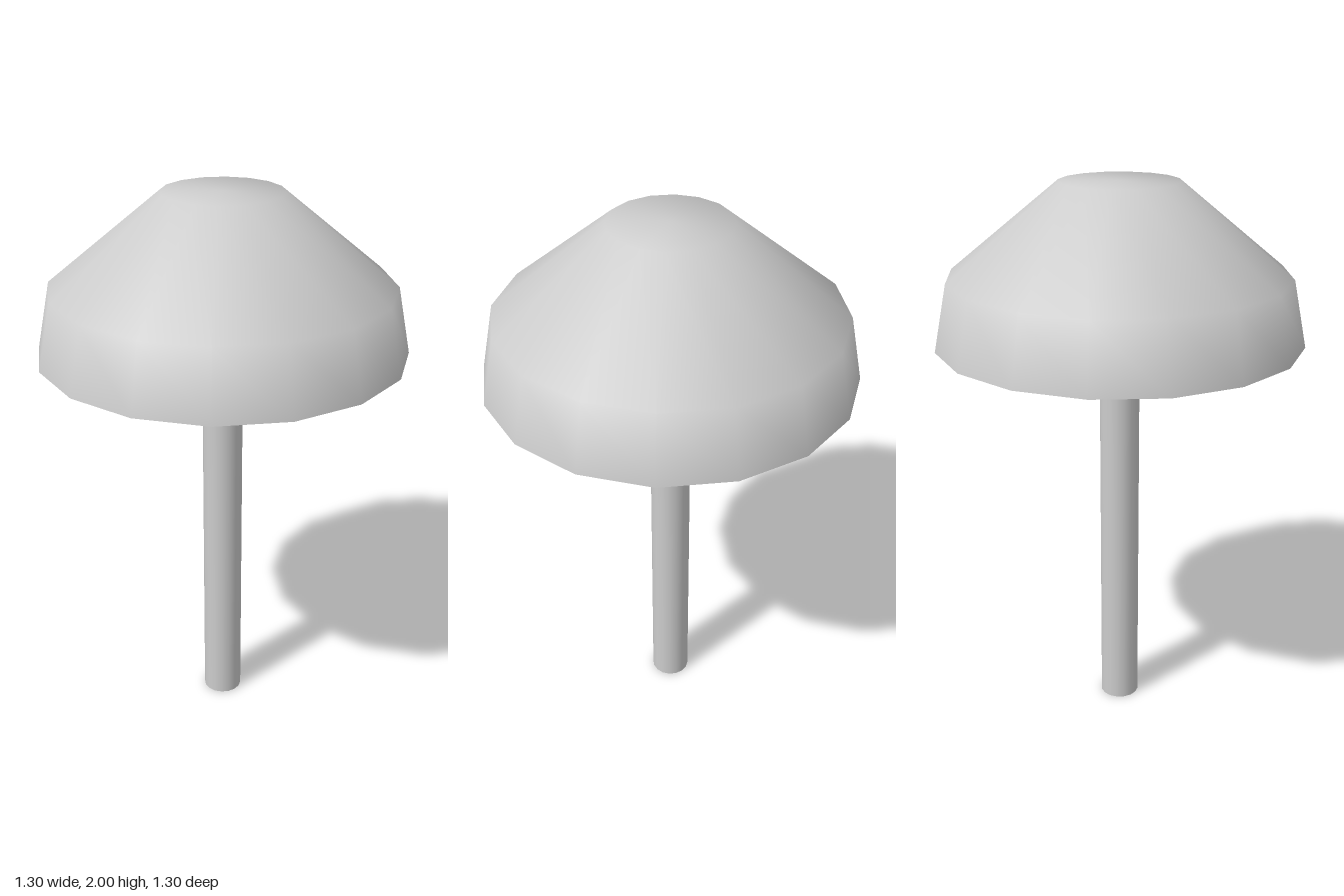
import * as THREE from 'three';

export function createModel() {
  const group = new THREE.Group();
  group.name = 'mushroom';
  const grey = new THREE.MeshStandardMaterial({ color: 0xcccccc });
  grey.name = 'light grey';

  const add = (name, geometry, y) => {
    const mesh = new THREE.Mesh(geometry, grey);
    mesh.name = name;
    mesh.position.y = y;
    group.add(mesh);
    return mesh;
  };

  const sides = 16;
  const capBase = 1.445, capRadius = 0.65, stemRadius = 0.072;

  // Smooth dome with a flat crown
  const profile = [[capRadius, 0], [0.602, 0.235], [0.21, 0.555], [0, 0.555]]
    .map(([r, y]) => new THREE.Vector2(r, y));
  add('cap', new THREE.LatheGeometry(profile, sides), capBase);

  // Flat underside, facing down
  const underside = new THREE.CircleGeometry(capRadius, sides).rotateX(Math.PI / 2);
  add('capUnderside', underside, capBase);

  // Straight round stem
  add('stem', new THREE.CylinderGeometry(stemRadius, stemRadius, capBase, sides), capBase / 2);

  return group;
}
